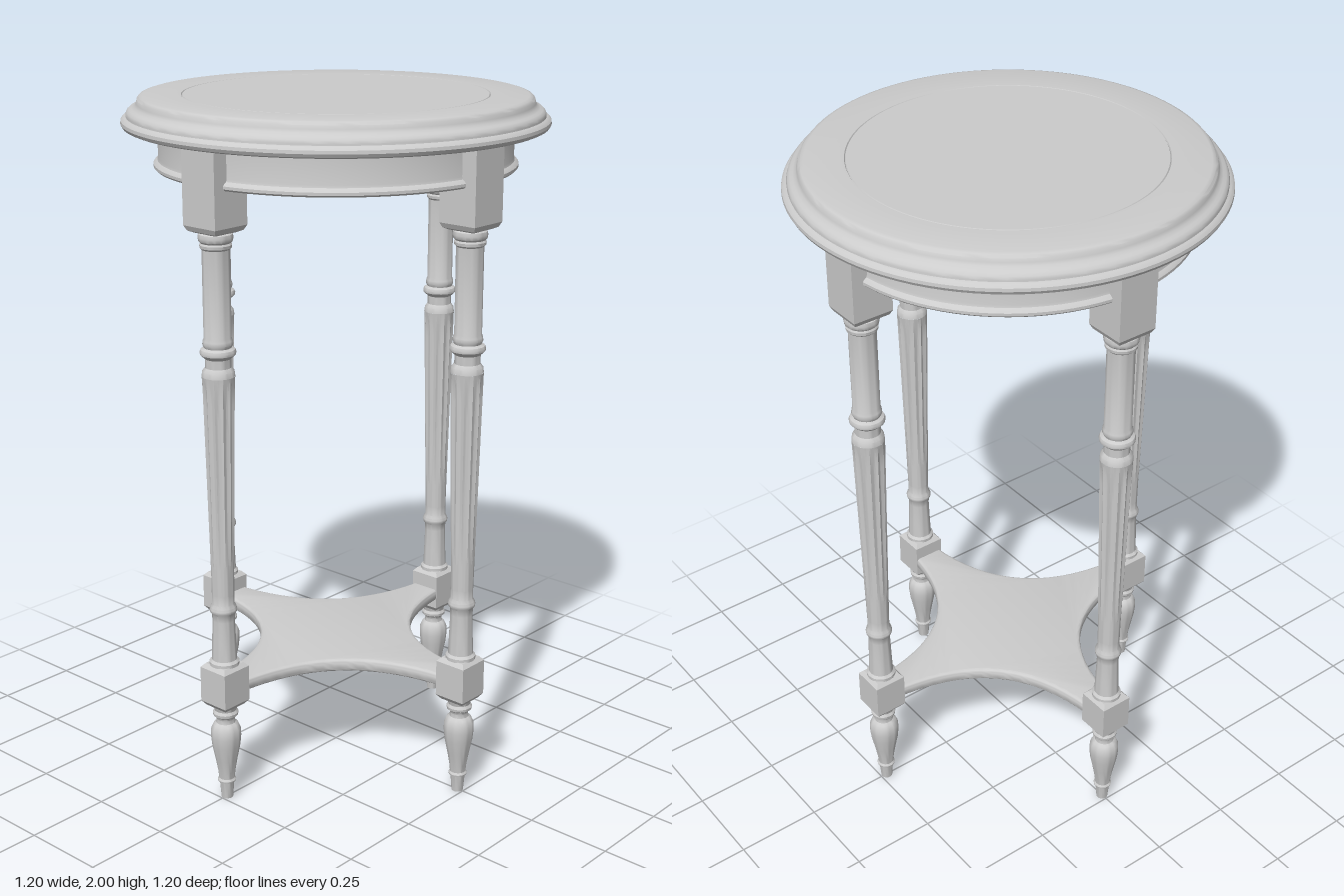
import * as THREE from 'three';
import { toCreasedNormals } from 'three/addons/utils/BufferGeometryUtils.js';

const material = new THREE.MeshStandardMaterial({ color: 0xcccccc });
const LEG_RADIUS = 0.48;

function part(name, geometry) {
  const mesh = new THREE.Mesh(geometry, material);
  mesh.name = name;
  return mesh;
}

// Profile points are [radius, height], running counter-clockwise in section
function turned(points, segments, crease = 0.6) {
  const geometry = new THREE.LatheGeometry(points.map(([r, y]) => new THREE.Vector2(r, y)), segments);
  return toCreasedNormals(geometry, crease);
}

// Square block with shaped ends: profile points are [half width, height]
function squareBlock(points) {
  const profile = points.map(([w, y]) => new THREE.Vector2(w * Math.SQRT2, y));
  return toCreasedNormals(new THREE.LatheGeometry(profile, 4, Math.PI / 4), 0.3);
}

// Tapered shaft with twelve flutes that fade out at both ends
function flutedShaft(y0, y1, r0, r1) {
  const rows = 16;
  const points = [];
  for (let i = 0; i <= rows; i++) {
    const t = i / rows;
    points.push(new THREE.Vector2(THREE.MathUtils.lerp(r0, r1, t), THREE.MathUtils.lerp(y0, y1, t)));
  }
  const geometry = new THREE.LatheGeometry(points, 72);
  const position = geometry.attributes.position;
  for (let i = 0; i < position.count; i++) {
    const x = position.getX(i), y = position.getY(i), z = position.getZ(i);
    const t = (y - y0) / (y1 - y0);
    const fade = Math.min(1, t * 2.5, (1 - t) * 14);
    const scale = 1 - 0.13 * fade * Math.abs(Math.sin(6 * Math.atan2(x, z)));
    position.setXYZ(i, x * scale, y, z * scale);
  }
  return toCreasedNormals(geometry, 0.6);
}

function createLeg() {
  const leg = new THREE.Group();
  leg.add(part('foot', turned([
    [0, 0], [0.017, 0], [0.021, 0.05], [0.026, 0.053], [0.027, 0.058], [0.023, 0.064],
    [0.025, 0.085], [0.032, 0.125], [0.041, 0.17], [0.044, 0.2], [0.043, 0.222], [0.036, 0.238],
    [0.028, 0.244], [0.026, 0.255], [0.029, 0.263], [0.036, 0.268], [0.037, 0.276],
    [0.032, 0.284], [0.034, 0.292], [0.038, 0.305], [0, 0.305],
  ], 32)));
  leg.add(part('lowerBlock', squareBlock([
    [0, 0.298], [0.038, 0.298], [0.049, 0.312], [0.049, 0.418], [0.038, 0.43], [0, 0.43],
  ])));
  leg.add(part('lowerColumn', turned([
    [0, 0.428], [0.043, 0.428], [0.043, 0.438], [0.036, 0.445], [0.034, 0.5], [0.032, 0.565],
    [0.033, 0.585], [0.038, 0.592], [0.039, 0.6], [0.037, 0.607], [0.032, 0.616], [0.032, 0.645],
  ], 32)));
  leg.add(part('flutedShaft', flutedShaft(0.645, 1.285, 0.032, 0.046)));
  leg.add(part('upperColumn', turned([
    [0.046, 1.285], [0.044, 1.3], [0.036, 1.31], [0.036, 1.335], [0.043, 1.341], [0.049, 1.347],
    [0.05, 1.354], [0.047, 1.361], [0.038, 1.366], [0.042, 1.375], [0.041, 1.385],
    [0.038, 1.392], [0.038, 1.635], [0.043, 1.64], [0.044, 1.648], [0.041, 1.653],
    [0.046, 1.658], [0.048, 1.668], [0.046, 1.677], [0.036, 1.685],
  ], 32)));
  leg.add(part('upperBlock', squareBlock([
    [0, 1.68], [0.04, 1.68], [0.053, 1.686], [0.06, 1.7], [0.06, 1.915], [0, 1.915],
  ])));
  return leg;
}

// Four-pointed shelf with sides curving inward between the legs
function createShelf() {
  const reach = 0.435, half = 0.036, pull = 0.075;
  const shape = new THREE.Shape();
  shape.moveTo(reach, -half);
  for (let i = 0; i < 4; i++) {
    const turn = (x, y) => new THREE.Vector2(x, y).rotateAround(new THREE.Vector2(), i * Math.PI / 2);
    const start = turn(reach, half), control = turn(pull, pull), end = turn(half, reach);
    shape.lineTo(start.x, start.y);
    shape.quadraticCurveTo(control.x, control.y, end.x, end.y);
    const next = turn(-half, reach);
    if (i < 3) shape.lineTo(next.x, next.y);
  }
  const geometry = new THREE.ExtrudeGeometry(shape, {
    depth: 0.014, bevelThickness: 0.012, bevelSize: 0.011, bevelSegments: 4, curveSegments: 32,
  });
  geometry.rotateX(-Math.PI / 2).translate(0, 0.35, 0);
  return part('shelf', toCreasedNormals(geometry, 0.6));
}

export function createModel() {
  const table = new THREE.Group();
  table.name = 'roundSideTable';

  // Moulded top with a fine inlay groove
  table.add(part('tableTop', turned([
    [0, 1.912], [0.585, 1.912], [0.594, 1.916], [0.599, 1.925], [0.598, 1.934], [0.591, 1.942],
    [0.584, 1.944], [0.584, 1.949], [0.581, 1.957], [0.574, 1.963], [0.566, 1.966],
    [0.558, 1.972], [0.554, 1.98], [0.552, 1.99], [0.546, 1.997], [0.536, 2],
    [0.43, 2], [0.428, 1.997], [0.426, 2], [0, 2],
  ], 96)));

  // Ring apron with a bead along its lower edge
  table.add(part('apron', turned([
    [0.47, 1.8], [0.506, 1.8], [0.511, 1.805], [0.511, 1.813], [0.506, 1.819], [0.5, 1.823],
    [0.498, 1.83], [0.498, 1.915], [0.47, 1.915], [0.47, 1.8],
  ], 96)));

  for (let i = 0; i < 4; i++) {
    const angle = i * Math.PI / 2;
    const leg = createLeg();
    leg.name = ['frontLeg', 'leftLeg', 'backLeg', 'rightLeg'][i];
    leg.position.set(Math.sin(angle) * LEG_RADIUS, 0, Math.cos(angle) * LEG_RADIUS);
    leg.rotation.y = angle;
    table.add(leg);
  }

  table.add(createShelf());
  return table;
}
